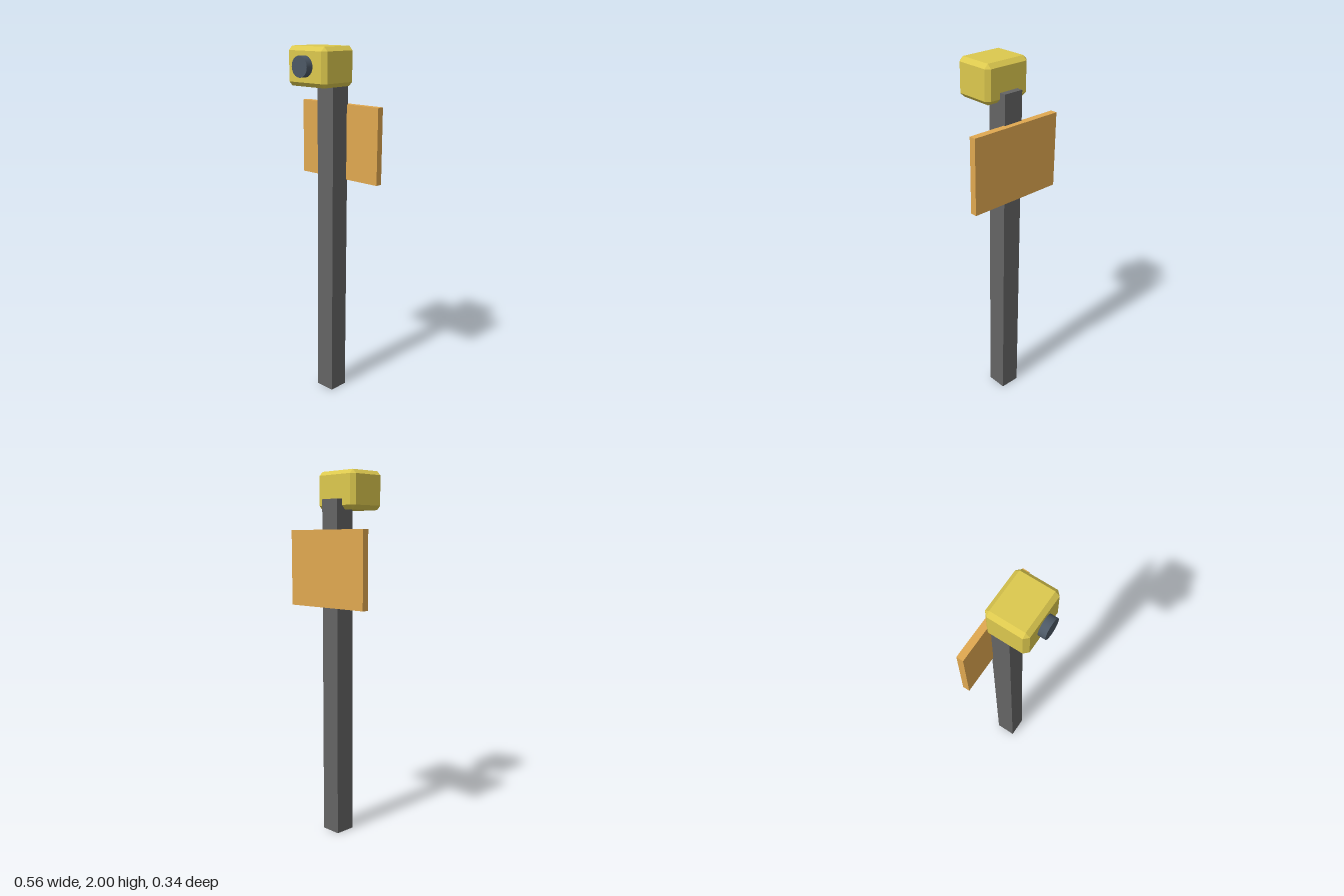
import * as THREE from 'three';
import { ConvexGeometry } from 'three/addons/geometries/ConvexGeometry.js';

function part(name, geometry, color, x, y, z, flat = true) {
  const mesh = new THREE.Mesh(geometry, new THREE.MeshStandardMaterial({ color, flatShading: flat }));
  mesh.name = name;
  mesh.position.set(x, y, z);
  return mesh;
}

// Box with every edge cut at 45 degrees: three points per corner
function chamferedBox(w, h, d, b) {
  const points = [];
  for (const sx of [-1, 1]) for (const sy of [-1, 1]) for (const sz of [-1, 1]) {
    const x = w / 2, y = h / 2, z = d / 2;
    points.push(
      new THREE.Vector3(sx * x, sy * (y - b), sz * (z - b)),
      new THREE.Vector3(sx * (x - b), sy * y, sz * (z - b)),
      new THREE.Vector3(sx * (x - b), sy * (y - b), sz * z)
    );
  }
  return new ConvexGeometry(points);
}

export function createModel() {
  const group = new THREE.Group();
  group.name = 'cameraPost';

  // Square post, set behind the head
  group.add(part('post', new THREE.BoxGeometry(0.115, 1.85, 0.115), 0x646464, 0, 0.925, -0.08));

  // Sign board on the back of the post
  group.add(part('signBoard', new THREE.BoxGeometry(0.556, 0.415, 0.038), 0xe0a850, 0, 1.4825, -0.149));

  // Chamfered camera head
  group.add(part('head', chamferedBox(0.278, 0.205, 0.23, 0.0225), 0xdcc84e, 0, 1.8975, 0.013));

  // Round lens, starting inside the head
  const lens = new THREE.CylinderGeometry(0.055, 0.055, 0.076, 32).rotateX(Math.PI / 2);
  group.add(part('lens', lens, 0x4c5865, 0, 1.9, 0.13, false));

  return group;
}
